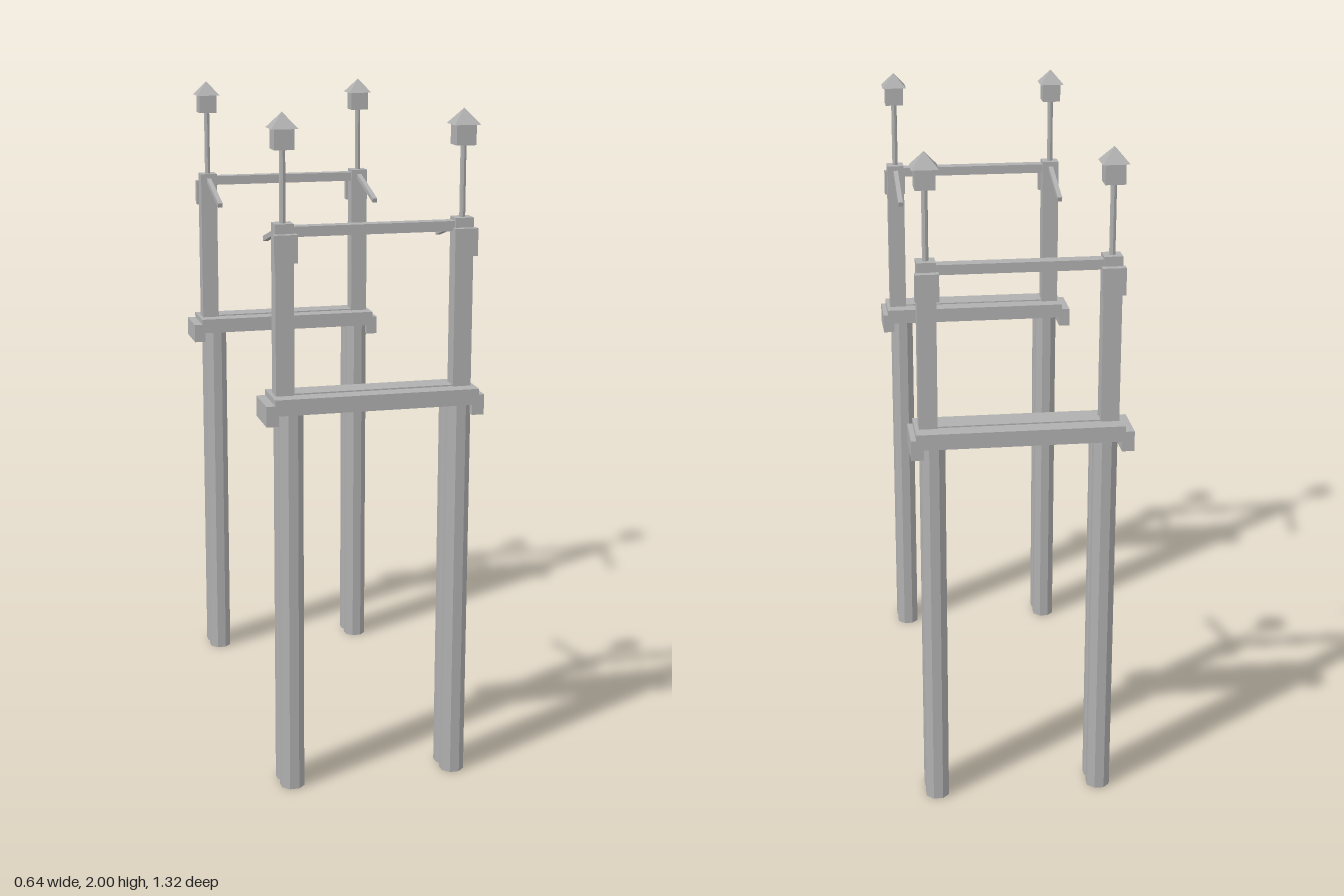
import * as THREE from 'three';

const grey = new THREE.MeshStandardMaterial({ color: 0xb0b0b0, flatShading: true });
grey.name = 'concrete grey';

function add(parent, name, geometry, x, y, z) {
  const mesh = new THREE.Mesh(geometry, grey);
  mesh.name = name;
  mesh.position.set(x, y, z);
  parent.add(mesh);
  return mesh;
}

// Box given by its limits on each axis
function box(parent, name, [x0, x1], [y0, y1], [z0, z1]) {
  return add(parent, name, new THREE.BoxGeometry(x1 - x0, y1 - y0, z1 - z0),
    (x0 + x1) / 2, (y0 + y1) / 2, (z0 + z1) / 2);
}

// One portal frame; its local +z points away from the middle of the model
function createPortal() {
  const portal = new THREE.Group();
  const cx = 0.0055; // the posts stand slightly off centre on the cap beam
  const cz = 0.588;

  // Cap beam with downturned ends and a shorter top slab
  const depth = [0.518, 0.659];
  box(portal, 'capBeam', [-0.322, 0.322], [1.153, 1.183], depth);
  box(portal, 'capEnd', [-0.322, -0.286], [1.123, 1.153], depth);
  box(portal, 'capEnd', [0.286, 0.322], [1.123, 1.153], depth);
  box(portal, 'topSlab', [-0.296, 0.307], [1.183, 1.2], depth);

  // Rails between the posts
  box(portal, 'topRail', [cx - 0.24, cx + 0.24], [1.654, 1.683], [0.57, 0.608]);
  box(portal, 'deckStrip', [cx - 0.24, cx + 0.24], [1.2, 1.204], [0.57, 0.608]);

  for (const side of [-1, 1]) {
    // Pair of octagonal piles
    for (const z of [0.558, 0.617]) {
      const pile = new THREE.CylinderGeometry(0.037, 0.037, 1.153, 8);
      pile.rotateY(Math.PI / 8);
      add(portal, 'pile', pile, 0.0065 + side * 0.2495, 0.5765, z);
    }

    // Post and the block on its outer face
    const x = cx + side * 0.263;
    box(portal, 'post', [x - 0.027, x + 0.027], [1.2, 1.692], [0.561, 0.614]);
    box(portal, 'postBlock', [x - 0.034, x + 0.034], [1.584, 1.664], [0.61, 0.635]);

    // Sloping arm reaching inward
    const from = new THREE.Vector3(x, 1.673, 0.575);
    const to = new THREE.Vector3(x, 1.613, 0.356);
    const arm = add(portal, 'arm', new THREE.BoxGeometry(0.015, 0.015, from.distanceTo(to)),
      x, (from.y + to.y) / 2, (from.z + to.z) / 2);
    arm.rotation.x = -Math.atan2(from.y - to.y, from.z - to.z);

    // Lamp: pole, lantern and pyramid roof
    add(portal, 'lampPole', new THREE.CylinderGeometry(0.009, 0.009, 0.21, 8), x, 1.795, cz);
    box(portal, 'lantern', [x - 0.029, x + 0.029], [1.897, 1.956], [cz - 0.029, cz + 0.029]);
    const roof = new THREE.ConeGeometry(0.0385 * Math.SQRT2, 0.045, 4);
    roof.rotateY(Math.PI / 4);
    add(portal, 'lanternRoof', roof, x, 1.9775, cz);
  }
  return portal;
}

// Reflects a portal to the other end by mirroring part positions and tilts
function mirrorZ(portal) {
  for (const mesh of portal.children) {
    mesh.position.z *= -1;
    mesh.rotation.x *= -1;
  }
  return portal;
}

export function createModel() {
  const model = new THREE.Group();
  model.name = 'twinPortalFrames';
  const front = createPortal();
  front.name = 'frontPortal';
  const back = mirrorZ(createPortal());
  back.name = 'backPortal';
  model.add(front, back);
  return model;
}
